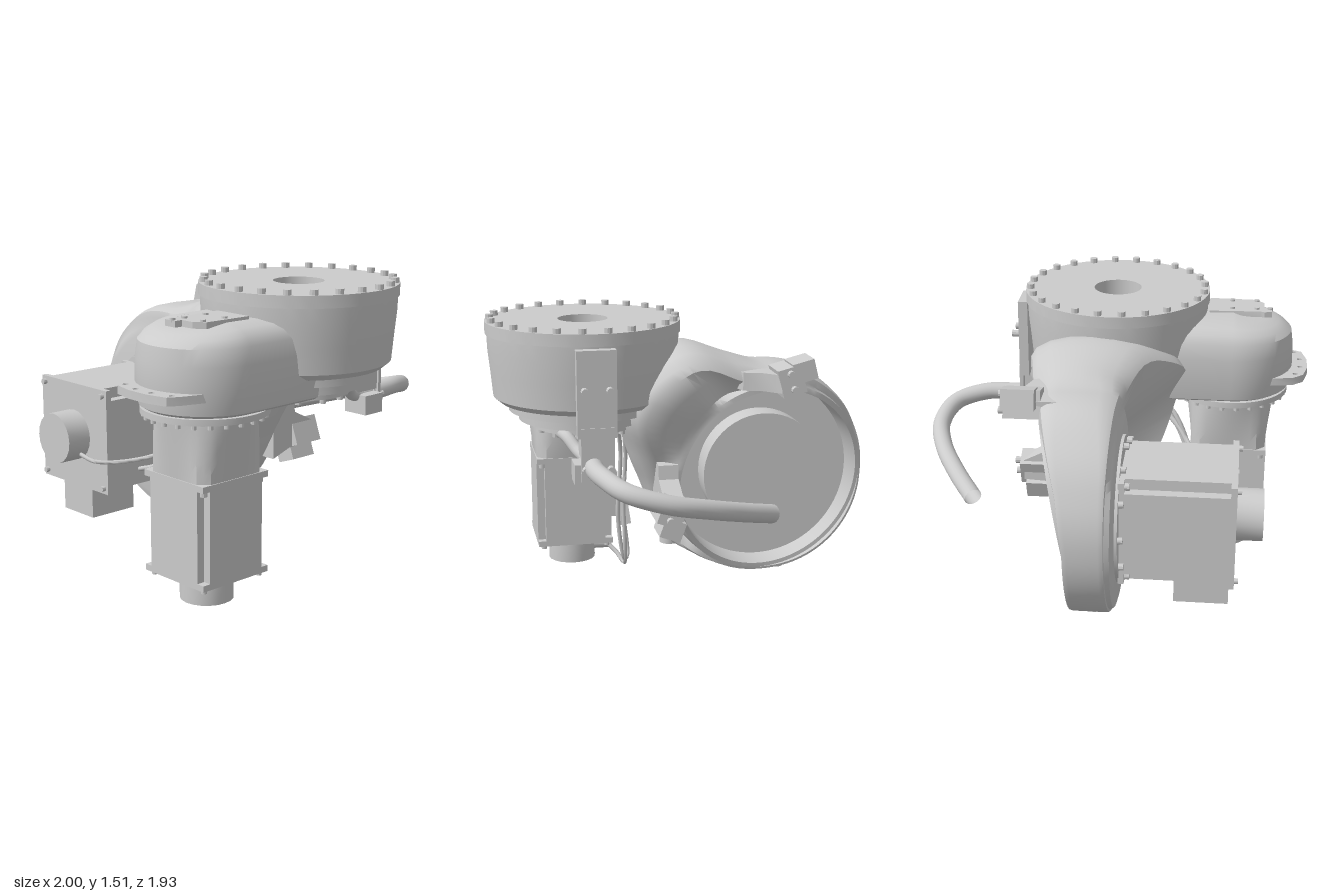
import * as THREE from 'three';
import { toCreasedNormals } from 'three/addons/utils/BufferGeometryUtils.js';

const grey = new THREE.MeshStandardMaterial({ color: 0xcccccc, side: THREE.DoubleSide });
const V = (x, y, z) => new THREE.Vector3(x, y, z);
const shapeOf = pts => new THREE.Shape(pts.map(p => new THREE.Vector2(...p)));

function add(parent, name, geo, pos = [0, 0, 0], rot = [0, 0, 0], crease = 0.6) {
  const mesh = new THREE.Mesh(toCreasedNormals(geo, crease), grey);
  mesh.name = name;
  mesh.position.set(...pos);
  mesh.rotation.set(...rot);
  parent.add(mesh);
}
const box = (p, name, size, pos, rot) => add(p, name, new THREE.BoxGeometry(...size), pos, rot);
const cyl = (p, name, r, h, pos, rot, n = 32) => add(p, name, new THREE.CylinderGeometry(r, r, h, n), pos, rot);
const slab = (p, name, shape, depth, pos, rot) =>
  add(p, name, new THREE.ExtrudeGeometry(shape, { depth, bevelEnabled: false }), pos, rot);
const tube = (p, name, pts, r, n = 8) =>
  add(p, name, new THREE.TubeGeometry(new THREE.CatmullRomCurve3(pts.map(a => V(...a))), 48, r, n), undefined, undefined, 1);
const ALONG_X = [0, 0, Math.PI / 2], ALONG_Z = [Math.PI / 2, 0, 0];

// Ring of small bolts around a vertical axis
function boltRing(p, name, count, radius, r, h, [cx, y, cz]) {
  for (let i = 0; i < count; i++) {
    const a = (i + 0.5) / count * Math.PI * 2;
    cyl(p, name, r, h, [cx + radius * Math.cos(a), y, cz + radius * Math.sin(a)], undefined, 10);
  }
}

// Skin a list of equal-length point loops
function loft(loops, closed = true) {
  const n = loops[0].length, idx = [];
  for (let i = 0; i < loops.length - 1; i++) for (let j = 0; j < (closed ? n : n - 1); j++) {
    const a = i * n + j, b = i * n + (j + 1) % n;
    idx.push(a, a + n, b, b, a + n, b + n);
  }
  const g = new THREE.BufferGeometry();
  g.setAttribute('position', new THREE.Float32BufferAttribute(loops.flat(2), 3));
  g.setIndex(idx);
  return g;
}

// Arm keys: angle about the ring axis, outer radius, left edge x, right edge x
const ARM = [
  [-180, .517, -.05, .145], [-90, .522, -.06, .135], [-60, .53, -.06, .17], [-45, .56, -.06, .17], [-33, .62, -.07, .1],
  [-15, .605, -.13, .15], [0, .65, -.2, .22], [15, .745, -.27, .29], [26, .87, -.32, .36], [40, .91, -.38, .43],
  [50, .885, -.28, .43], [58, .86, -.18, .4], [69, .71, -.1, .37], [83, .605, -.08, .32], [105, .6, -.07, .29], [122, .565, -.06, .25],
  [150, .53, -.05, .18], [180, .517, -.05, .145]];
function armKey(deg) {
  const out = [0, 0, 0];
  for (let s = -2; s <= 2; s++) { // small window smooths the corners
    const d = THREE.MathUtils.euclideanModulo(deg + s * 2 + 180, 360) - 180;
    const i = Math.max(1, ARM.findIndex(k => k[0] >= d)), a = ARM[i - 1], b = ARM[i];
    const t = (d - a[0]) / (b[0] - a[0]);
    for (let k = 0; k < 3; k++) out[k] += (a[k + 1] + (b[k + 1] - a[k + 1]) * t) / 5;
  }
  return out;
}
function armGeometry() {
  const loops = [];
  for (let d = -180; d <= 180; d += 3) {
    const [R, xl, xr] = armKey(d), t = d * Math.PI / 180;
    const rim = .225 + .12 * Math.cos(t - .87);
    const e = Math.min(.12, (R - .495) * .6), lip = Math.min(.512, R - e);
    const pocket = .055 * Math.exp(-(((d - 64) / 10) ** 2));
    const right = Math.min(xr, rim + .08), mid = (lip + R - e) / 2;
    const square = THREE.MathUtils.clamp((R - .5) / .15, .3, 1); // thin walls get square corners
    const sec = [[0, -.03], [.485, -.03], [.485, rim], [lip, rim],
      [lip * .75 + mid * .25, rim * .8 + right * .2 - pocket], [mid * .75 + (R - e) * .25, right - pocket]];
    for (let k = 0; k <= 8; k++) { // outer edge
      const a = k / 8 * Math.PI, c = Math.cos(a);
      sec.push([R - e + e * Math.abs(Math.sin(a)) ** square,
        (right + xl) / 2 + (right - xl) / 2 * Math.sign(c) * Math.abs(c) ** square]);
    }
    sec.push([.495, -.075], [.46, -.085], [0, -.085]);
    loops.push(sec.map(([r, x]) => [x, .67 + r * Math.sin(t), -.45 + r * Math.cos(t)]));
  }
  return loft(loops, false);
}

// Servo motor hanging along -y from its mounting face
function motor(name, w, len, capR, capLen) {
  const g = new THREE.Group(), h = w / 2, c = w * .1, outline = [];
  g.name = name;
  for (let q = 0; q < 4; q++) { // square with notched corners
    const co = Math.round(Math.cos(q * Math.PI / 2)), si = Math.round(Math.sin(q * Math.PI / 2));
    for (const [x, y] of [[h, -h + c], [h, h - c], [h - c, h - c], [h - c, h]])
      outline.push([x * co - y * si, x * si + y * co]);
  }
  slab(g, 'motorBody', shapeOf(outline), len, [0, 0, 0], ALONG_Z);
  box(g, 'mountingPlate', [w, .03, w], [0, -.015, 0]);
  box(g, 'endPlate', [w, .03, w], [0, -len + .015, 0]);
  cyl(g, 'encoderCap', capR, capLen, [0, -len - capLen / 2, 0], undefined, 20);
  for (const x of [-1, 1]) for (const z of [-1, 1]) {
    cyl(g, 'motorBolt', .018, .03, [x * (h - .03), -.04, z * (h - .03)], undefined, 10);
    cyl(g, 'endBolt', .014, .02, [x * (h - .03), -len - .01, z * (h - .03)], undefined, 10);
  }
  return g;
}

export function createModel() {
  const model = new THREE.Group();
  model.name = 'robotCarousel';

  // Turntable drum with a through bore
  const drum = [[.125, .96], [.26, .96], [.26, 1], [.33, 1], [.33, 1.04], [.38, 1.05], [.38, 1.085], [.42, 1.095], [.455, 1.125],
    [.466, 1.25], [.477, 1.36], [.48, 1.44], [.488, 1.44], [.488, 1.5], [.125, 1.5], [.125, .96]];
  add(model, 'turntable', new THREE.LatheGeometry(drum.map(p => new THREE.Vector2(...p)), 64), [.018, 0, .475], undefined, .45);
  boltRing(model, 'turntableBolt', 24, .463, .02, .03, [.018, 1.51, .475]);
  boltRing(model, 'lowerBolt', 12, .235, .016, .025, [.018, .95, .475]);

  // Arm body with its open ring and inner drum
  add(model, 'armBody', armGeometry(), undefined, undefined, .7);
  cyl(model, 'innerDrum', .32, .15, [.035, .67, -.45], ALONG_X, 48);
  for (const z of [-.39, -.54]) cyl(model, 'footBoss', .04, .05, [.04, .16, z], undefined, 16);
  cyl(model, 'frontBoss', .05, .1, [.01, .345, .035], undefined, 16);

  // Gear housing beside the drum: U-shaped sections that round over at the top
  const levels = [[.985, 0], [.985, .28], [1, .305], [1.1, .32], [1.22, .318], [1.3, .307], [1.345, .28], [1.37, .24], [1.387, .17], [1.395, 0]];
  add(model, 'gearHousing', loft(levels.map(([y, r]) => {
    const l = [[-.16, y, .475 + r], [-.35, y, .475 + r]];
    for (let i = 0; i <= 24; i++) {
      const a = Math.PI / 2 + i / 24 * Math.PI;
      l.push([-.6 + r * Math.cos(a), y - (y > 1.3 ? .02 : 0) * Math.max(0, -Math.cos(a)), .475 + r * Math.sin(a)]);
    }
    l.push([-.35, y, .475 - r], [-.16, y, .475 - r]);
    return l;
  })));
  // Ear with bolt holes
  const ear = shapeOf([[-.8, -.24], [-.92, -.22], [-.975, -.17], [-1, -.06], [-1, .06], [-.975, .17], [-.92, .2], [-.8, .24]]);
  for (const [x, y] of [[-.935, -.16], [-.962, -.055], [-.962, .055], [-.935, .16]])
    ear.holes.push(new THREE.Path().absarc(x, y, .014, 0, Math.PI * 2, true));
  slab(model, 'mountingEar', ear, .04, [0, 1.105, .475], ALONG_Z);
  // Cover plate on the housing
  const cover = shapeOf([[-.8, -.04], [-.76, -.05], [-.74, -.04], [-.47, -.05], [-.47, .16], [-.72, .15], [-.76, .1], [-.76, .03], [-.8, .03]]);
  slab(model, 'coverPlate', cover, .03, [0, 1.402, .475], ALONG_Z);
  for (const [x, z] of [[-.79, .475], [-.72, .475], [-.59, .475], [-.72, .6], [-.59, .6]])
    cyl(model, 'coverBolt', .014, .02, [x, 1.402, z], undefined, 10);

  // Vertical motor with its round-to-square neck
  cyl(model, 'neckFlange', .305, .03, [-.595, .97, .475], undefined, 40);
  boltRing(model, 'neckBolt', 24, .285, .013, .03, [-.595, .95, .475]);
  const neck = new THREE.CylinderGeometry(.24, .2, .3, 48, 6), p = neck.attributes.position;
  for (let i = 0; i < p.count; i++) {
    const x = p.getX(i), z = p.getZ(i), r = Math.hypot(x, z), m = Math.max(Math.abs(x), Math.abs(z));
    if (m < .01) continue;
    const k = 1 + (Math.min(r / m, 1.25) - 1) * (.5 - p.getY(i) / .3);
    p.setX(i, x * k);
    p.setZ(i, z * k);
  }
  add(model, 'motorNeck', neck, [-.595, .815, .48]);
  const m1 = motor('verticalMotor', .41, .5, .13, .13);
  m1.position.set(-.595, .67, .48);
  model.add(m1);

  // Horizontal motor on the back of the ring
  cyl(model, 'ringCover', .365, .03, [-.085, .67, -.46], ALONG_X, 48);
  for (let i = 0; i < 12; i++) {
    const a = i / 12 * Math.PI * 2;
    cyl(model, 'ringBolt', .017, .03, [-.11, .67 + .335 * Math.sin(a), -.46 + .335 * Math.cos(a)], ALONG_X, 10);
  }
  const m2 = motor('horizontalMotor', .54, .56, .13, .13);
  m2.position.set(-.095, .67, -.465);
  m2.rotation.z = -Math.PI / 2;
  model.add(m2);
  box(model, 'connectorBox', [.27, .17, .24], [-.495, .32, -.48]);

  // Connectors behind the vertical motor
  box(model, 'socketPlate', [.17, .26, .05], [-.58, .42, .255]);
  box(model, 'plug', [.09, .26, .06], [-.55, .36, .2], [.12, 0, .2]);
  cyl(model, 'cableGland', .03, .1, [-.58, .11, .31], ALONG_Z, 12);

  // Cables
  tube(model, 'motorCable', [[-.56, .11, .28], [-.52, .06, .23], [-.47, .02, .2], [-.43, .1, .2], [-.41, .4, .21], [-.39, .7, .2], [-.28, .92, .24], [-.12, .97, .3]], .012);
  tube(model, 'plugCable', [[-.52, .25, .19], [-.48, .06, .18], [-.45, .05, .2], [-.42, .3, .24], [-.37, .7, .23], [-.26, .9, .27], [-.14, .97, .33]], .012);
  tube(model, 'encoderCable', [[-.72, .6, -.33], [-.7, .58, -.22], [-.55, .6, -.06], [-.44, .68, .1], [-.36, .78, .2], [-.2, .95, .28]], .011);
  tube(model, 'powerCable', [[-.45, .5, -.19], [-.45, .55, -.05], [-.42, .66, .12], [-.33, .82, .22], [-.16, .96, .3]], .012);

  // Hose and its clamp bracket on the model's left
  tube(model, 'hose', [[.52, .87, .5], [.62, .87, .5], [.75, .87, .48], [.9, .84, .4], [.95, .79, .22], [.9, .74, .02], [.79, .68, -.18], [.68, .63, -.34]], .046, 20);
  tube(model, 'innerHose', [[.18, .965, .62], [.26, .95, .59], [.33, .9, .55], [.42, .87, .51], [.53, .87, .5]], .03, 14);
  box(model, 'hoseClamp', [.13, .1, .14], [.465, .83, .52]);
  box(model, 'clampArm', [.17, .11, .1], [.445, .95, .5]);
  box(model, 'bracketPlate', [.05, .42, .19], [.52, 1.22, .48]);
  box(model, 'bracketLower', [.02, .26, .16], [.54, .93, .48]);
  for (const z of [.42, .54]) for (const y of [1.24, .86])
    cyl(model, 'bracketBolt', .018, .05, [.56, y, z], ALONG_X, 10);

  // Two stop blocks beside the ring, each on a buttress that flares out of the arm
  const stops = [
    { at: [.38, 1.23, -.5], tilt: .25, pad: [.01, .03, -.065] },
    { at: [.41, .6, .1], tilt: -.35, pad: [-.02, -.09, -.03] }];
  for (const { at, tilt, pad } of stops) {
    const s = new THREE.Group();
    s.name = 'stopBlock';
    s.position.set(...at);
    s.rotation.x = tilt;
    model.add(s);
    box(s, 'stopArm', [.18, .14, .12], [0, 0, .01]);
    box(s, 'stopPad', [.16, .1, .11], pad);
    for (const dy of [-.04, .04]) cyl(s, 'stopBolt', .018, .04, [.1, dy, .01], ALONG_X, 10);
  }
  slab(model, 'upperButtress', shapeOf([[.15, -.2], [.36, -.27], [.39, -.36], [.47, -.44], [.47, -.54], [.3, -.55], [.15, -.55]]),
    .09, [0, 1.26, 0], ALONG_Z);
  slab(model, 'lowerButtress', shapeOf([[.18, .82], [.33, .8], [.34, .73], [.48, .66], [.48, .55], [.3, .54], [.18, .5]]), .1, [0, 0, .05]);
  return model;
}
